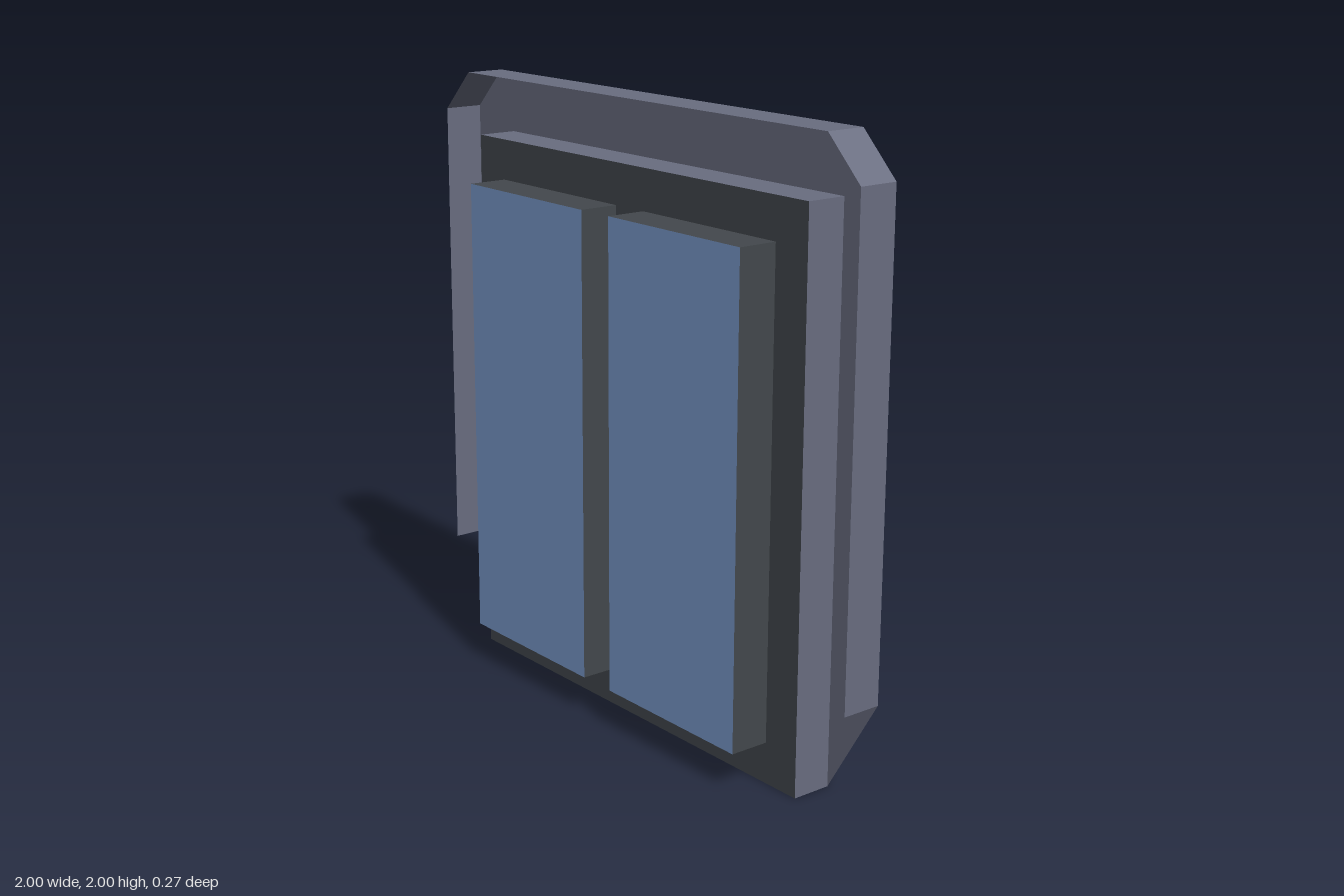
import * as THREE from 'three';

const D = 0.133; // depth of frame and of window boxes

function material(name, color) {
  const m = new THREE.MeshStandardMaterial({ color, side: THREE.DoubleSide });
  m.name = name;
  return m;
}

// Thin wall following a 2D path, spanning z0 to z1
function wall(points, z0, z1) {
  const pos = [];
  for (let i = 0; i < points.length - 1; i++) {
    const [ax, ay] = points[i], [bx, by] = points[i + 1];
    pos.push(ax, ay, z0, bx, by, z0, bx, by, z1, ax, ay, z0, bx, by, z1, ax, ay, z1);
  }
  const g = new THREE.BufferGeometry();
  g.setAttribute('position', new THREE.Float32BufferAttribute(pos, 3));
  g.computeVertexNormals();
  return g;
}

// Flat sheet with optional holes
function sheet(points, z, holes = []) {
  const toV = (list) => list.map(([x, y]) => new THREE.Vector2(x, y));
  const shape = new THREE.Shape(toV(points));
  for (const h of holes) shape.holes.push(new THREE.Path(toV(h)));
  return new THREE.ShapeGeometry(shape).translate(0, 0, z);
}

const rect = (x0, x1, y0, y1) => [[x0, y0], [x1, y0], [x1, y1], [x0, y1]];

export function createModel() {
  const group = new THREE.Group();
  const frameMat = material('frameGrey', 0x696d80);
  const darkMat = material('darkPanel', 0x43484d);
  const glassMat = material('blueGlass', 0x7a9acc);

  const add = (name, geometry, mat) => {
    const mesh = new THREE.Mesh(geometry, mat);
    mesh.name = name;
    group.add(mesh);
  };

  // Frame: arch plate at the back, with an outer rim and an inner reveal
  const rim = [[-1, 0.333], [-1, 1.867], [-0.867, 2], [0.867, 2], [1, 1.867], [1, 0.333]];
  const reveal = [[0.8, 0], [0.8, 1.8], [-0.8, 1.8], [-0.8, 0]];
  add('framePlate', sheet([...rim, ...reveal], -D), frameMat);
  add('frameRim', wall(rim, -D, 0), frameMat);
  add('frameReveal', wall(reveal, -D, 0), frameMat);

  // Door panel with two window openings
  const openings = [-1, 1].map((s) => rect(s < 0 ? -0.667 : 0.067, s < 0 ? -0.067 : 0.667, 0.133, 1.667));
  add('doorPanel', sheet(rect(-0.8, 0.8, 0, 1.8), 0, openings), darkMat);

  // Projecting window boxes, glass and rear handles
  openings.forEach((o, i) => {
    const side = i === 0 ? 'right' : 'left';
    add(side + 'WindowBox', wall([...o, o[0]], 0, D), darkMat);
    add(side + 'Glass', sheet(o, D), glassMat);
    const handle = new THREE.BoxGeometry(0.131, 0.267, 0.129);
    handle.translate((i === 0 ? -1 : 1) * 0.1345, 0.9, 0.0655);
    add(side + 'Handle', handle, frameMat);
  });

  return group;
}
